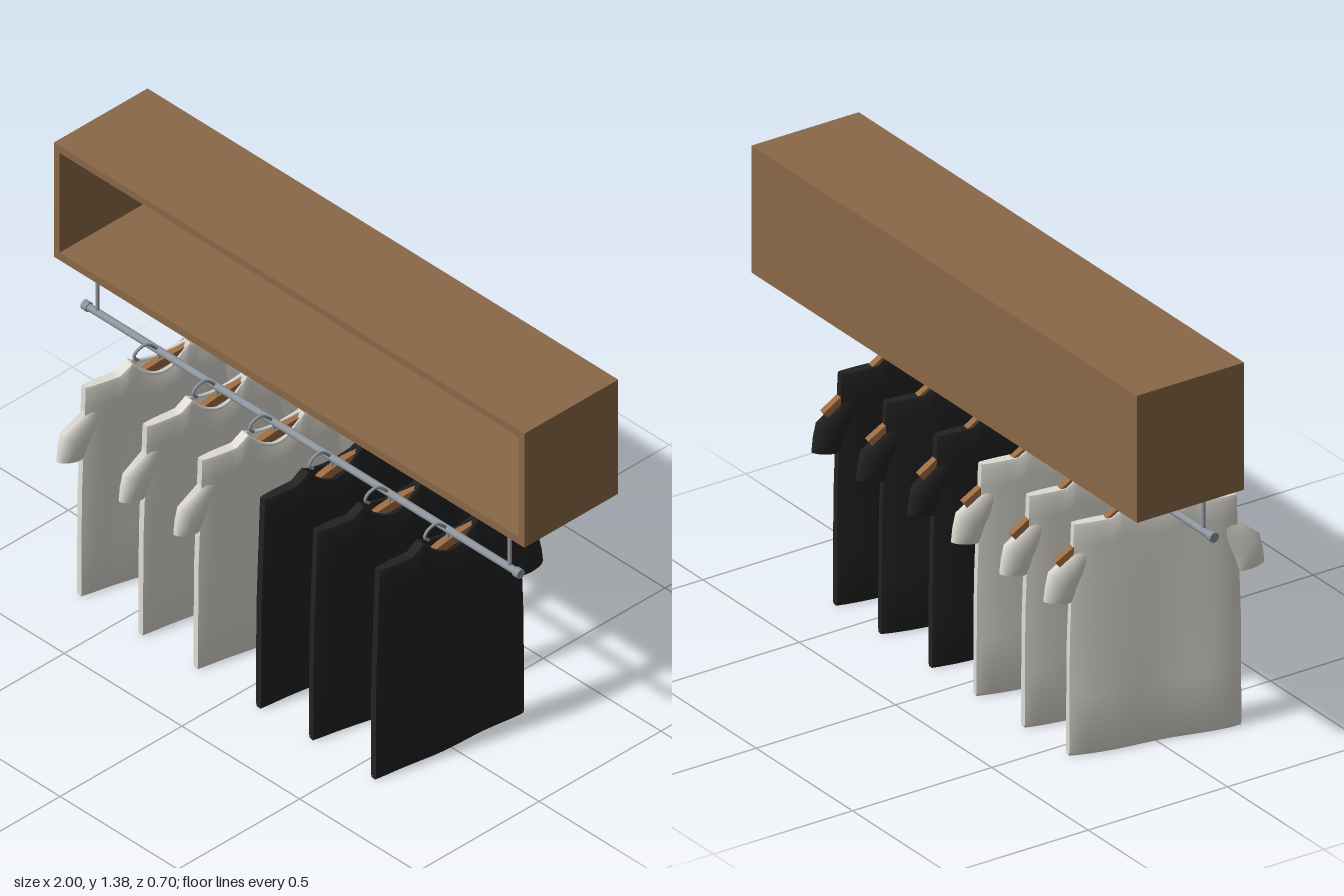
import * as THREE from 'three';
import { toCreasedNormals } from 'three/addons/utils/BufferGeometryUtils.js';

const material = (name, color) => {
  const m = new THREE.MeshStandardMaterial({ color });
  m.name = name;
  return m;
};

// Skin a list of closed cross-sections (each a list of [x, y, z])
function loft(rows, crease = 0.9) {
  const n = rows[0].length, index = [];
  for (let i = 0; i < rows.length - 1; i++) {
    for (let j = 0; j < n; j++) {
      const k = (j + 1) % n, a = i * n + j, b = i * n + k, c = a + n, d = b + n;
      index.push(a, b, d, a, d, c);
    }
  }
  const g = new THREE.BufferGeometry();
  g.setAttribute('position', new THREE.Float32BufferAttribute(rows.flat(2), 3));
  g.setIndex(index);
  return toCreasedNormals(g, crease);
}

const SHOULDER = 0.26, NECK = 0.1;

// Height of the shirt's upper edge across its width; face is +1 front, -1 back
function topEdge(u, face) {
  const a = Math.abs(u), dip = face > 0 ? 0.73 : 0.765;
  if (a < NECK) return dip + (0.793 - dip) * (a / NECK) ** 2;
  return Math.max(0.764, 0.793 - (a - NECK) * 0.72);
}

// Flat hanging torso with soft folds and a hollow at the neck
function torsoGeometry() {
  const steps = 26, loop = [];
  for (const face of [1, -1]) {
    for (let i = 0; i <= steps; i++) loop.push([face * SHOULDER * (1 - 2 * i / steps), face]);
  }
  const row = (v, thick, sink = 0) => loop.map(([u, face]) => {
    const s = u / SHOULDER;
    const width = 1 + 0.055 * Math.min(1, (1 - v) * 1.8);
    const fold = 0.004 * Math.sin(s * 5 + 1) * (1 - v);
    const half = 0.02 * (1 - 0.4 * s ** 8) * thick;
    const edge = thick === 0 ? (topEdge(u, 1) + topEdge(u, -1)) / 2 : topEdge(u, face);
    const y = v * edge - (Math.abs(u) < NECK - 0.01 ? sink : 0);
    return [face * half + fold, y, u * width];
  });
  return loft([
    row(0, 0), row(0, 0.7), row(0.015, 1), row(0.25, 1), row(0.5, 1),
    row(0.75, 1), row(0.9, 1), row(0.985, 1), row(1, 0.8), row(1, 0, 0.05),
  ]);
}

// Short sleeve hanging from the shoulder; side is +1 or -1 along z
function sleeveGeometry(side) {
  // outer z, outer y, inner z, inner y, half thickness
  const sections = [
    [0.22, 0.71, 0.20, 0.63, 0.016],
    [0.275, 0.665, 0.235, 0.57, 0.023],
    [0.338, 0.615, 0.25, 0.54, 0.027],
    [0.348, 0.57, 0.258, 0.52, 0.026],
    [0.354, 0.523, 0.262, 0.506, 0.021],
    [0.315, 0.53, 0.3, 0.525, 0.002],
  ];
  const n = 14;
  return loft(sections.map(([oz, oy, iz, iy, t]) => Array.from({ length: n }, (_, j) => {
    const a = j / n * Math.PI * 2, k = (1 + Math.cos(a)) / 2;
    return [-side * t * Math.sin(a), iy + (oy - iy) * k, side * (iz + (oz - iz) * k)];
  })));
}

// Ribbed band following the neckline
function collarGeometry() {
  const pts = [];
  for (let i = 0; i < 24; i++) {
    const a = i / 24 * Math.PI * 2, u = NECK * Math.sin(a);
    pts.push(new THREE.Vector3(0.018 * Math.cos(a), topEdge(u, Math.cos(a)) - 0.003, u));
  }
  return new THREE.TubeGeometry(new THREE.CatmullRomCurve3(pts, true), 48, 0.006, 6, true);
}

export function createModel() {
  const wood = material('shelf wood', 0x8b6847);
  const metal = material('brushed steel', 0x8d949b);
  const hangerWood = material('hanger wood', 0x9c6c42);
  const white = material('white cotton', 0xdddbd3);
  const black = material('black cotton', 0x222222);

  const model = new THREE.Group();
  model.name = 'wallShelfWithShirts';
  const add = (parent, name, geometry, mat, x = 0, y = 0, z = 0) => {
    const mesh = new THREE.Mesh(geometry, mat);
    mesh.name = name;
    mesh.position.set(x, y, z);
    parent.add(mesh);
    return mesh;
  };

  // Open-fronted shelf box
  const box = (w, h, d) => new THREE.BoxGeometry(w, h, d);
  const midZ = -0.1325, depth = 0.385, innerH = 0.367, innerY = 1.1765;
  add(model, 'shelfTop', box(2, 0.025, depth), wood, 0, 1.3725, midZ);
  add(model, 'shelfBottom', box(2, 0.028, depth), wood, 0, 0.979, midZ);
  for (const s of [-1, 1]) {
    add(model, s > 0 ? 'shelfLeftSide' : 'shelfRightSide', box(0.025, innerH, depth), wood, s * 0.9875, innerY, midZ);
  }
  add(model, 'shelfBack', box(1.95, innerH, 0.02), wood, 0, innerY, -0.315);

  // Clothes rail with end caps and two drop posts
  const cyl = (r, h) => new THREE.CylinderGeometry(r, r, h, 20);
  add(model, 'rail', cyl(0.012, 1.84), metal, -0.005, 0.795).rotation.z = Math.PI / 2;
  for (const s of [-1, 1]) {
    add(model, 'railCap', cyl(0.016, 0.022), metal, -0.005 + s * 0.917, 0.795).rotation.z = Math.PI / 2;
    add(model, 'railPost', cyl(0.0065, 0.17), metal, s * 0.876, 0.88);
  }

  // Geometry shared by all shirts and hangers
  const torso = torsoGeometry(), collar = collarGeometry();
  const sleeves = { 1: sleeveGeometry(1), [-1]: sleeveGeometry(-1) };
  const hook = new THREE.TubeGeometry(new THREE.CatmullRomCurve3(
    [[0.07, 0.785], [0.084, 0.8], [0.077, 0.818], [0.045, 0.832], [0.015, 0.812], [0, 0.79], [0, 0.73]]
      .map(([z, y]) => new THREE.Vector3(0, y, z))), 32, 0.005, 8);

  // Sloping wooden hanger arm between two points in the z-y plane
  const arm = (parent, z0, y0, z1, y1) => {
    const length = Math.hypot(z1 - z0, y1 - y0);
    const mesh = add(parent, 'hangerArm', box(0.024, 0.03, length), hangerWood, 0, (y0 + y1) / 2, (z0 + z1) / 2);
    mesh.rotation.x = -Math.atan2(y1 - y0, z1 - z0);
  };

  // x position, turn in degrees, cloth, sides that have a visible sleeve
  const shirts = [
    [-0.618, 12, white, [1, -1]], [-0.372, 8, white, [1, -1]], [-0.13, 10, white, [1, -1]],
    [0.118, 5.5, black, [-1]], [0.362, 10.5, black, [-1]], [0.61, 6.5, black, [-1]],
  ];
  for (const [x, turn, cloth, sides] of shirts) {
    const shirt = new THREE.Group();
    shirt.name = cloth === white ? 'whiteShirt' : 'blackShirt';
    shirt.position.x = x;
    shirt.rotation.y = -THREE.MathUtils.degToRad(turn);
    add(shirt, 'torso', torso, cloth);
    add(shirt, 'collar', collar, cloth);
    for (const s of sides) add(shirt, 'sleeve', sleeves[s], cloth);
    add(shirt, 'hangerHook', hook, metal);
    arm(shirt, -0.31, 0.637, -0.115, 0.775);
    arm(shirt, -0.125, 0.772, 0, 0.748);
    arm(shirt, 0, 0.748, 0.24, 0.68);
    model.add(shirt);
  }
  return model;
}
